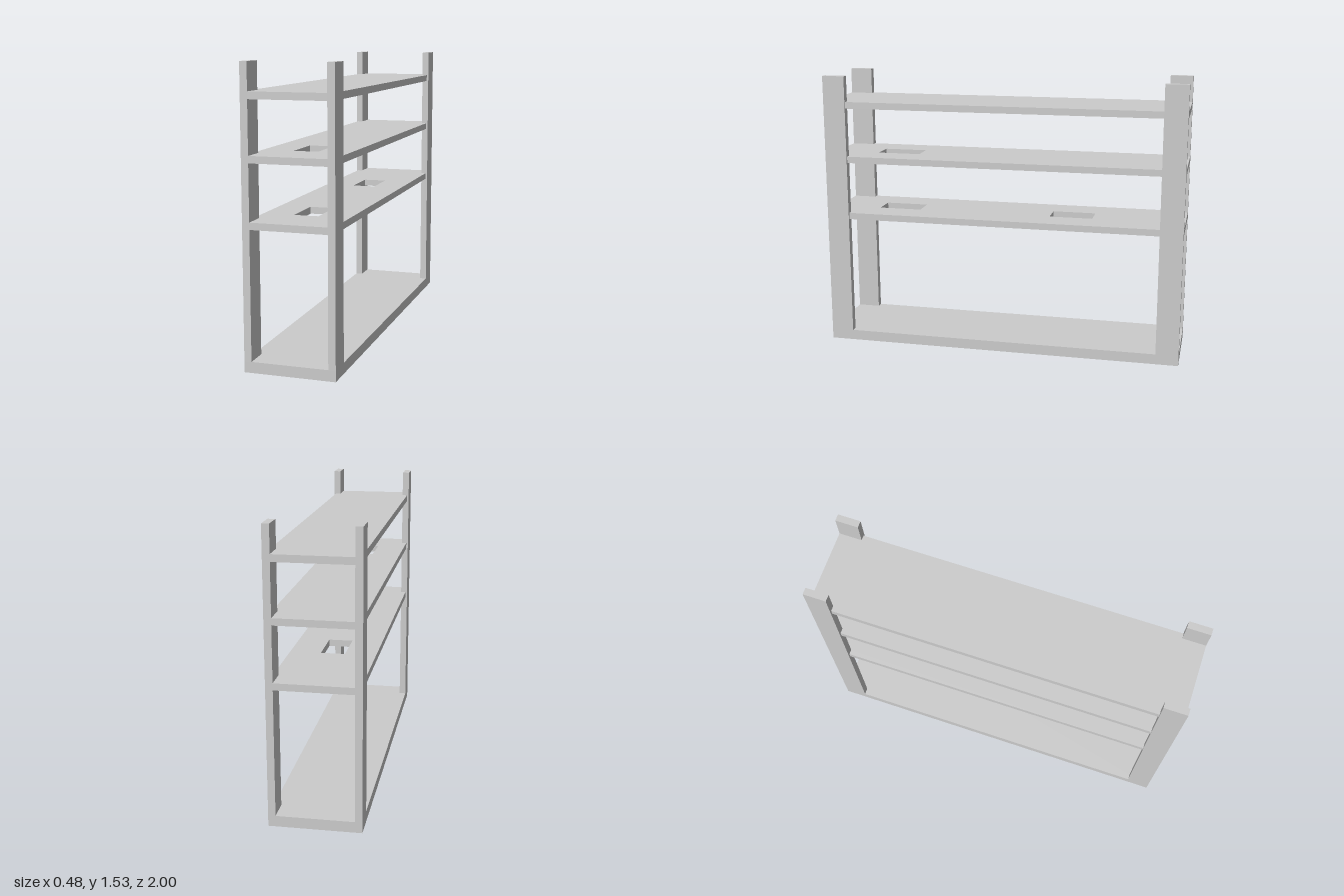
import * as THREE from 'three';

const material = new THREE.MeshStandardMaterial({ color: 0xcccccc, flatShading: true });

const HALF_W = 0.238, HALF_L = 1, HEIGHT = 1.53;
const POST_IN_X = 0.2, POST_IN_Z = 0.875, BASE_H = 0.057;

function addBox(group, name, x0, x1, y0, y1, z0, z1) {
  const mesh = new THREE.Mesh(new THREE.BoxGeometry(x1 - x0, y1 - y0, z1 - z0), material);
  mesh.position.set((x0 + x1) / 2, (y0 + y1) / 2, (z0 + z1) / 2);
  mesh.name = name;
  group.add(mesh);
}

// Board notched at its corners around the posts, with rectangular cut-outs
function addShelf(group, name, bottom, top, holes) {
  const w = 0.228;
  const corners = [
    [-POST_IN_X, -HALF_L], [POST_IN_X, -HALF_L], [POST_IN_X, -POST_IN_Z], [w, -POST_IN_Z],
    [w, POST_IN_Z], [POST_IN_X, POST_IN_Z], [POST_IN_X, HALF_L], [-POST_IN_X, HALF_L],
    [-POST_IN_X, POST_IN_Z], [-w, POST_IN_Z], [-w, -POST_IN_Z], [-POST_IN_X, -POST_IN_Z],
  ];
  const shape = new THREE.Shape(corners.map(([x, y]) => new THREE.Vector2(x, y)));
  const hw = 0.064;
  for (const [z0, z1] of holes) {
    // shape y becomes -z once the board is laid flat
    shape.holes.push(new THREE.Path([
      new THREE.Vector2(-hw, -z0), new THREE.Vector2(hw, -z0),
      new THREE.Vector2(hw, -z1), new THREE.Vector2(-hw, -z1),
    ]));
  }
  const geometry = new THREE.ExtrudeGeometry(shape, { depth: top - bottom, bevelEnabled: false });
  geometry.rotateX(-Math.PI / 2);
  const mesh = new THREE.Mesh(geometry, material);
  mesh.position.y = bottom;
  mesh.name = name;
  group.add(mesh);
}

export function createModel() {
  const rack = new THREE.Group();
  rack.name = 'shelvingRack';

  // Base board
  addBox(rack, 'base', -HALF_W, HALF_W, 0, BASE_H, -HALF_L, HALF_L);

  // Four corner posts
  for (const [side, x0, x1] of [['Right', -HALF_W, -POST_IN_X], ['Left', POST_IN_X, HALF_W]]) {
    addBox(rack, `front${side}Post`, x0, x1, BASE_H, HEIGHT, POST_IN_Z, HALF_L);
    addBox(rack, `back${side}Post`, x0, x1, BASE_H, HEIGHT, -HALF_L, -POST_IN_Z);
  }

  // Shelves with cut-outs
  const frontHole = [0.505, 0.745], backHole = [-0.49, -0.25];
  addShelf(rack, 'lowerShelf', 0.721, 0.757, [frontHole, backHole]);
  addShelf(rack, 'middleShelf', 1.045, 1.081, [frontHole]);
  addShelf(rack, 'upperShelf', 1.351, 1.388, []);

  return rack;
}
